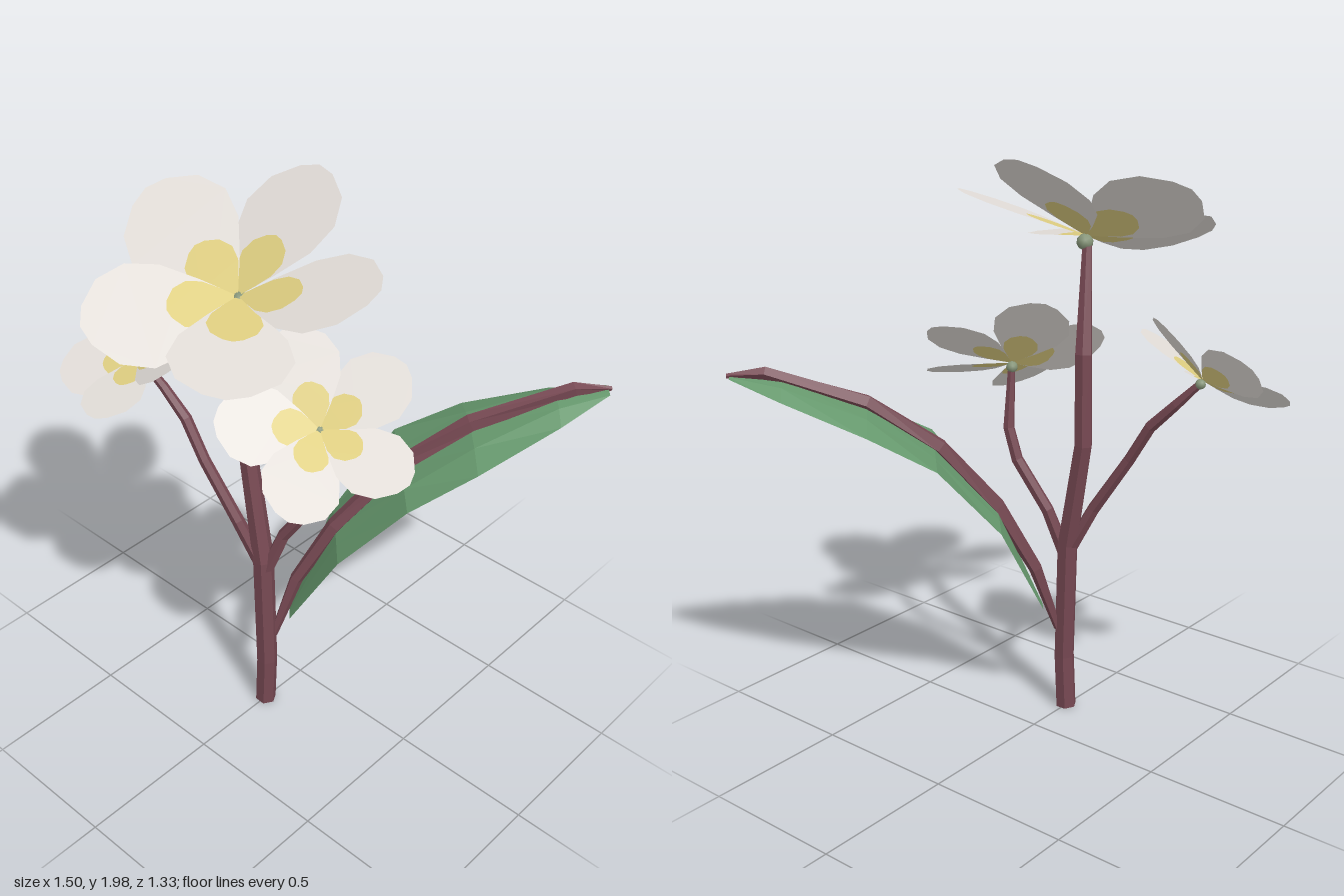
import * as THREE from 'three';

const mat = (name, color, side = THREE.FrontSide) => {
  const m = new THREE.MeshStandardMaterial({ color, side });
  m.name = name;
  return m;
};
const V = (a) => new THREE.Vector3(...a);

function add(parent, name, geometry, material) {
  const mesh = new THREE.Mesh(geometry, material);
  mesh.name = name;
  parent.add(mesh);
  return mesh;
}

// Faceted surface from rows of points; closed rows become a capped tube
function loft(rows, closed) {
  const n = rows[0].length, pos = rows.flat().flatMap((p) => p.toArray()), idx = [];
  for (let r = 0; r < rows.length - 1; r++) {
    for (let i = 0; i < (closed ? n : n - 1); i++) {
      const j = (i + 1) % n, a = r * n + i, b = r * n + j;
      idx.push(a, b, b + n, a, b + n, a + n);
    }
  }
  if (closed) {
    const top = (rows.length - 1) * n;
    for (let i = 1; i < n - 1; i++) idx.push(0, i + 1, i, top, top + i, top + i + 1);
  }
  const g = new THREE.BufferGeometry();
  g.setAttribute('position', new THREE.Float32BufferAttribute(pos, 3));
  g.setIndex(idx);
  const flat = g.toNonIndexed();
  flat.computeVertexNormals();
  return flat;
}

// Tapered branch; each path entry is x, y, z, radius
function branch(path, sides = 6) {
  const pts = path.map(V);
  const ref = new THREE.Vector3(0, 0, 1);
  const rows = pts.map((p, k) => {
    const t = pts[Math.min(k + 1, pts.length - 1)].clone().sub(pts[Math.max(k - 1, 0)]).normalize();
    const u = new THREE.Vector3().crossVectors(ref, t).normalize();
    const v = new THREE.Vector3().crossVectors(t, u);
    return Array.from({ length: sides }, (_, i) => {
      const a = (i / sides) * Math.PI * 2, r = path[k][3];
      return p.clone().addScaledVector(u, Math.cos(a) * r).addScaledVector(v, Math.sin(a) * r);
    });
  });
  return loft(rows, true);
}

// Petal outline along +x, one unit long; the inner part is a scaled copy
const half = [[0.2, 0.17], [0.42, 0.33], [0.63, 0.385], [0.83, 0.31], [0.96, 0.14]];
const outline = [
  ...half.map(([x, y]) => new THREE.Vector2(x, -y)),
  new THREE.Vector2(1, 0),
  ...half.map(([x, y]) => new THREE.Vector2(x, y)).reverse(),
];
const inner = outline.map((p) => p.clone().multiplyScalar(0.46));
const plate = (pts) => new THREE.ShapeGeometry(new THREE.Shape(pts)).rotateX(-Math.PI / 2);

export function createModel() {
  const model = new THREE.Group();
  model.name = 'floweringBranch';
  const bark = mat('bark', 0x764852);
  const leafGreen = mat('leafGreen', 0x66986d, THREE.DoubleSide);
  const petalWhite = mat('petalWhite', 0xe2ddd8, THREE.DoubleSide);
  const petalYellow = mat('petalYellow', 0xddcd80, THREE.DoubleSide);
  const calyxGreen = mat('calyxGreen', 0x87967a);

  // Stems
  add(model, 'mainStem', branch([
    [0, 0, 0.185, 0.037], [0.008, 0.2, 0.182, 0.037], [-0.012, 0.64, 0.17, 0.037],
    [-0.088, 1.02, 0.152, 0.032], [-0.085, 1.33, 0.152, 0.03], [-0.025, 1.68, 0.245, 0.017],
  ]), bark);
  add(model, 'leftStem', branch([
    [0.0, 0.6, 0.17, 0.025], [0.05, 0.76, 0.135, 0.022], [0.155, 0.93, 0.1, 0.021],
    [0.188, 1.04, 0.095, 0.02], [0.195, 1.25, 0.12, 0.013],
  ]), bark);
  add(model, 'rightStem', branch([
    [-0.01, 0.6, 0.17, 0.025], [-0.1, 0.78, 0.2, 0.022], [-0.23, 0.98, 0.22, 0.02],
    [-0.31, 1.11, 0.22, 0.02], [-0.4, 1.2, 0.23, 0.017], [-0.475, 1.28, 0.25, 0.012],
  ]), bark);

  // Flowers: five cupped, slightly twisted petals around a tilted axis
  const petalGeo = plate([...outline, ...inner.slice().reverse()]);
  const throatGeo = plate([new THREE.Vector2(0, 0), ...inner]);
  const calyxGeo = new THREE.IcosahedronGeometry(0.06, 1);
  function flower(name, centre, axis, firstTip, length, cup) {
    const g = new THREE.Group();
    g.name = name;
    const y = V(axis).normalize();
    const x = V(firstTip).projectOnPlane(y).normalize();
    g.quaternion.setFromRotationMatrix(
      new THREE.Matrix4().makeBasis(x, y, new THREE.Vector3().crossVectors(x, y)));
    g.position.set(...centre);
    g.scale.setScalar(length);
    for (let i = 0; i < 5; i++) {
      const petal = new THREE.Group();
      petal.name = 'petal';
      petal.rotation.set(-0.21, (i / 5) * Math.PI * 2, cup, 'YZX');
      add(petal, 'petalBlade', petalGeo, petalWhite);
      add(petal, 'petalThroat', throatGeo, petalYellow);
      g.add(petal);
    }
    add(g, 'calyx', calyxGeo, calyxGreen).position.y = -0.045;
    model.add(g);
  }
  flower('topFlower', [-0.015, 1.7, 0.25], [0.11, 0.92, 0.376], [-0.02, 0.3, -0.38], 0.47, 0.25);
  flower('rightFlower', [-0.48, 1.29, 0.255], [-0.21, 0.816, 0.54], [0.06, 0.21, -0.185], 0.29, 0.25);
  flower('leftFlower', [0.2, 1.26, 0.125], [0.46, 0.79, 0.4], [0.12, 0.17, -0.28], 0.335, 0.2);

  // Leaf: x, y, z of the middle line, half width, droop of the edges
  const stations = [
    [0.055, 0.41, 0.115, 0.03, 0.01], [0.16, 0.77, 0, 0.15, 0.03], [0.3, 1.01, -0.16, 0.23, 0.01],
    [0.45, 1.16, -0.32, 0.205, 0.045], [0.63, 1.265, -0.52, 0.115, 0.045], [0.745, 1.285, -0.64, 0.03, 0.005],
  ];
  const rows = stations.map(([x, y, z, w, d]) => [-1, -0.5, 0, 0.5, 1].map((s) => {
    const o = s * w * Math.SQRT1_2;
    return new THREE.Vector3(x + o, y - d * s * s, z + o);
  }));
  add(model, 'leafBlade', loft(rows, false), leafGreen);
  add(model, 'leafRib', branch([
    [0.02, 0.31, 0.16, 0.014], [0.065, 0.55, 0.09, 0.024], [0.16, 0.785, 0, 0.029],
    [0.29, 1.01, -0.145, 0.03], [0.45, 1.175, -0.32, 0.03], [0.67, 1.29, -0.56, 0.024],
    [0.75, 1.285, -0.65, 0.008],
  ], 5), bark);

  return model;
}
